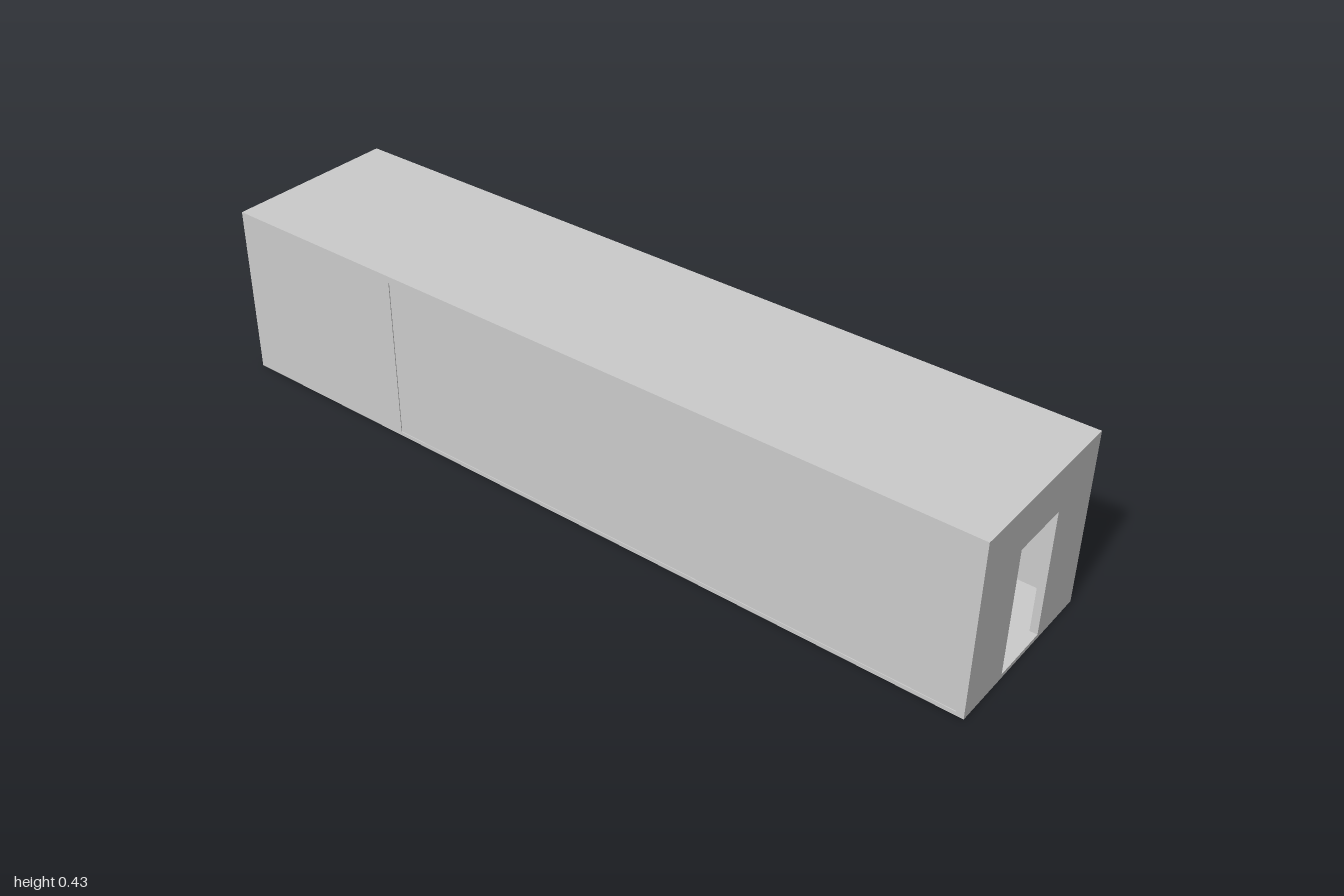
import * as THREE from 'three';

export function createModel() {
  const model = new THREE.Group();
  const material = (color) => new THREE.MeshStandardMaterial({ color, side: THREE.DoubleSide });
  const grey = material(0xcccccc);
  const red = material(0xa00808);
  const green = material(0x4f6b55);
  const dark = material(0x333333);

  function add(name, geometry, mat = grey, parent = model) {
    const mesh = new THREE.Mesh(geometry, mat);
    mesh.name = name;
    parent.add(mesh);
    return mesh;
  }
  // Box given by its limits on each axis
  function box(name, x0, x1, y0, y1, z0, z1, mat = grey, parent = model) {
    const mesh = add(name, new THREE.BoxGeometry(x1 - x0, y1 - y0, z1 - z0), mat, parent);
    mesh.position.set((x0 + x1) / 2, (y0 + y1) / 2, (z0 + z1) / 2);
    return mesh;
  }
  // Closed outline in the xy plane, extruded along z
  function extrude(points, depth, hole) {
    const shape = new THREE.Shape(points.map(([x, y]) => new THREE.Vector2(x, y)));
    if (hole) shape.holes.push(new THREE.Path(hole.map(([x, y]) => new THREE.Vector2(x, y))));
    return new THREE.ExtrudeGeometry(shape, { depth, bevelEnabled: false, curveSegments: 8 });
  }

  // Shell: floor, roof and side walls
  const W = 0.222, H = 0.432, T = 0.018;
  box('floor', -W, W, 0, 0.01, -1, 1);
  box('roof', -W, W, H - 0.016, H, -1, 1);
  box('leftWall', W - T, W - 0.001, 0.01, H - 0.016, -1, 1);
  box('rightWallFront', -W + 0.002, -W + T, 0.01, H - 0.016, -0.51, 1);
  box('rightWallRear', -W, -W + T, 0.01, H - 0.016, -1, -0.51);

  // Front wall with doorway
  const front = add('frontWall', extrude([
    [-W, 0], [-0.075, 0], [-0.075, 0.323], [0.074, 0.323], [0.074, 0], [W, 0], [W, H], [-W, H],
  ], T));
  front.position.z = 1 - T;

  // Back wall with window opening and a slim frame
  const opening = [[-0.125, 0.15], [-0.125, 0.366], [0.125, 0.366], [0.125, 0.15]];
  const back = add('backWall', extrude([[-W, 0], [W, 0], [W, H], [-W, H]], T, opening));
  back.position.z = -1;
  const inner = opening.map(([x, y]) => [x * 0.97, y + (y < 0.2 ? 0.004 : -0.004)]);
  const frame = add('windowFrame', extrude(opening, 0.006, inner));
  frame.position.z = -1 + 0.008;

  // Red cabinet just inside the doorway
  const cabinet = new THREE.Group();
  cabinet.name = 'cabinet';
  model.add(cabinet);
  box('cabinetBase', -0.2, -0.135, 0.01, 0.025, 0.8, 0.975, grey, cabinet);
  box('cabinetBody', -0.2, -0.132, 0.025, 0.36, 0.8, 0.975, red, cabinet);
  for (let row = 0; row < 3; row++) {
    for (let col = 0; col < 2; col++) {
      const y = 0.2 + row * 0.03, z = 0.83 + col * 0.025;
      box('cabinetButton', -0.132, -0.129, y, y + 0.01, z, z + 0.01, dark, cabinet);
    }
  }

  // Short screen beside the cabinet and the main partition
  box('screenWall', -0.204, -0.09, 0.01, H - 0.016, 0.785, 0.798);
  box('partition', -0.204, 0.02, 0.01, H - 0.016, 0.38, 0.392);

  // Chairs: curved side rails, seat and backrest
  function chair(x, z) {
    const group = new THREE.Group();
    group.name = 'chair';
    const rail = (points) => new THREE.TubeGeometry(
      new THREE.CatmullRomCurve3(points.map(([a, b]) => new THREE.Vector3(a, b, 0))), 12, 0.0022, 6);
    for (const side of [-0.025, 0.025]) {
      add('backLeg', rail([[0.012, 0.01], [0.004, 0.05], [0, 0.085], [0.003, 0.12], [0.014, 0.15]]),
        green, group).position.z = side;
      add('frontLeg', rail([[-0.037, 0.01], [-0.044, 0.045], [-0.048, 0.078]]),
        green, group).position.z = side;
    }
    box('seat', -0.051, 0.002, 0.074, 0.079, -0.028, 0.028, green, group);
    const rest = add('backrest', extrude([
      [-0.001, 0.105], [0.002, 0.105], [0.008, 0.13], [0.016, 0.15], [0.012, 0.15], [0.004, 0.13],
    ], 0.056), green, group);
    rest.position.z = -0.028;
    group.position.set(x, 0, z);
    model.add(group);
  }
  chair(-0.023, 0.5);
  chair(-0.07, 0.6);

  // Rounded bench across the room
  const bench = new THREE.Group();
  bench.name = 'bench';
  model.add(bench);
  const roll = add('benchCushion', new THREE.CylinderGeometry(0.028, 0.028, 0.22, 24), grey, bench);
  roll.rotation.z = Math.PI / 2;
  roll.position.set(0.09, 0.056, 0.1);
  box('benchBase', -0.02, 0.2, 0.02, 0.042, 0.03, 0.125, grey, bench);
  box('benchTop', -0.02, 0.2, 0.078, 0.088, 0.03, 0.11, grey, bench);

  return model;
}
